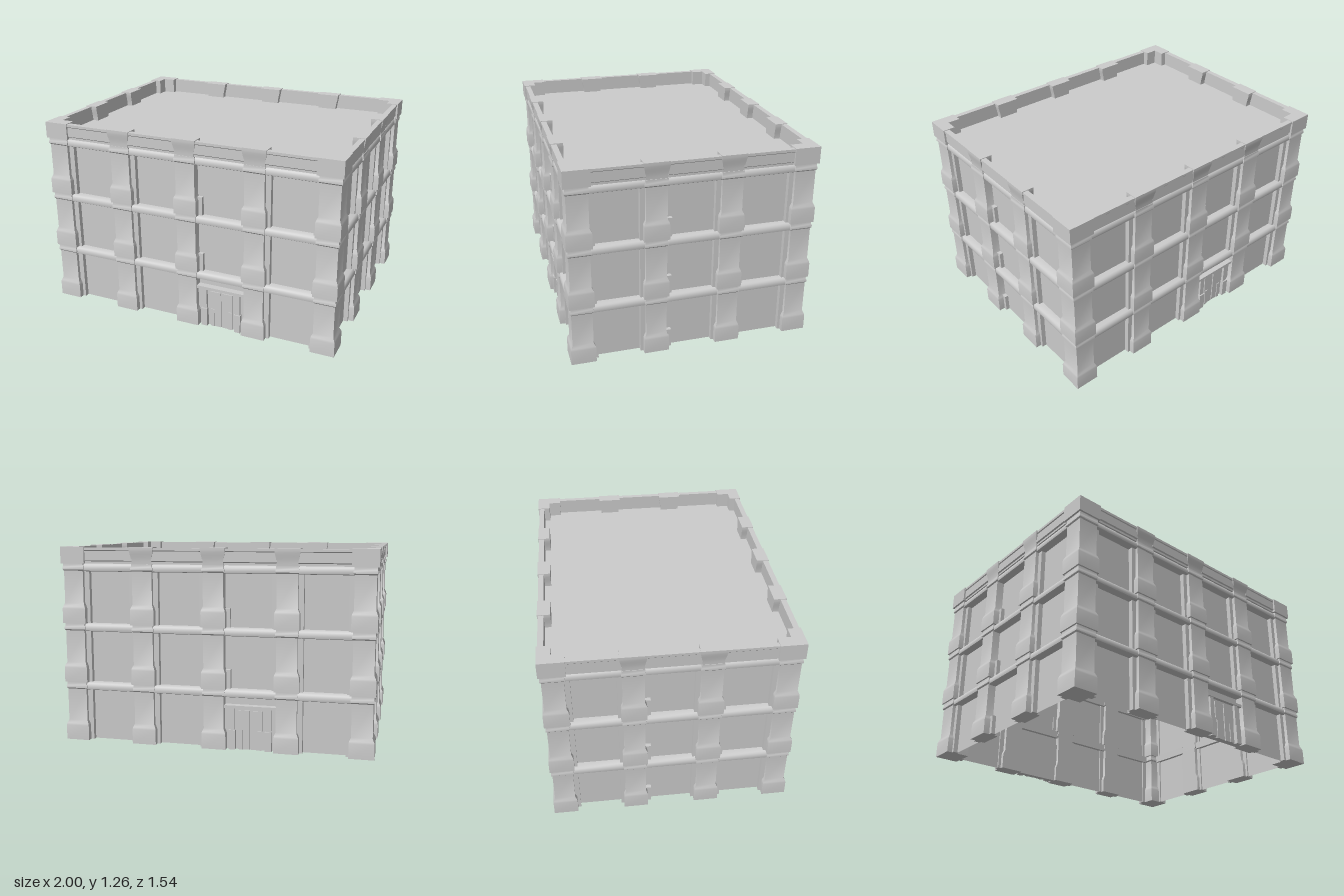
import * as THREE from 'three';
import { toCreasedNormals } from 'three/addons/utils/BufferGeometryUtils.js';

const mat = new THREE.MeshStandardMaterial({ color: 0xcccccc });
const thin = new THREE.MeshStandardMaterial({ color: 0xcccccc, side: THREE.DoubleSide });
const BAY = 0.46, STOREY = 0.385, ROOF = 1.155, TOP = 1.26;
const HX = 0.998, HZ = 0.766; // outer half sizes

function add(parent, name, geo, material = mat) {
  const mesh = new THREE.Mesh(geo, material);
  mesh.name = name;
  parent.add(mesh);
  return mesh;
}

// box given by its limits
function box(parent, name, x0, x1, y0, y1, z0, z1) {
  const g = new THREE.BoxGeometry(x1 - x0, y1 - y0, z1 - z0);
  g.translate((x0 + x1) / 2, (y0 + y1) / 2, (z0 + z1) / 2);
  return add(parent, name, g);
}

// stacked rectangular sections: [y, x0, x1, z0, z1]
function stack(sections) {
  const rings = sections.map(([y, x0, x1, z0, z1]) =>
    [[x0, y, z1], [x1, y, z1], [x1, y, z0], [x0, y, z0]]);
  const p = [];
  const quad = (a, b, c, d) => p.push(...a, ...b, ...c, ...a, ...c, ...d);
  for (let i = 0; i < rings.length - 1; i++) {
    const a = rings[i], b = rings[i + 1];
    for (let j = 0; j < 4; j++) {
      const k = (j + 1) % 4;
      quad(a[j], a[k], b[k], b[j]);
    }
  }
  const first = rings[0], last = rings[rings.length - 1];
  quad(last[0], last[1], last[2], last[3]);
  quad(first[3], first[2], first[1], first[0]);
  const g = new THREE.BufferGeometry();
  g.setAttribute('position', new THREE.Float32BufferAttribute(p, 3));
  return toCreasedNormals(g, 0.6);
}

// (z, y) profile drawn out along x
function moulding(points, length) {
  const shape = new THREE.Shape(points.map(([z, y]) => new THREE.Vector2(z, y)));
  const g = new THREE.ExtrudeGeometry(shape, { depth: length, bevelEnabled: false });
  g.translate(0, 0, -length / 2);
  g.rotateY(-Math.PI / 2);
  return toCreasedNormals(g, 0.7);
}

// pillar outline over one storey: [y, inset from the widest face]
const PILLAR = [[0, 0], [0.095, 0], [0.108, 0.003], [0.13, 0.013], [0.338, 0.013],
  [0.346, 0.006], [0.36, 0.006], [0.368, 0.01], [0.385, 0.01]];
// flared pier on the parapet
const PIER = [[0, 0.013], [0.02, 0.012], [0.04, 0.009], [0.06, 0.005], [0.08, 0.001], [0.09, 0], [0.105, 0]];

// entrance filling the space between two pillars, centred on x
function entrance(parent, x, D) {
  const door = new THREE.Group();
  door.name = 'entrance';
  box(door, 'doorSurround', x - 0.165, x + 0.165, 0, 0.28, D - 0.08, D - 0.045);
  for (const s of [-1, 1]) {
    const at = (name, a, b, y0, y1, z) =>
      box(door, name, x + Math.min(s * a, s * b), x + Math.max(s * a, s * b), y0, y1, D - 0.06, D - z);
    at('doorPost', 0.1, 0.132, 0, 0.265, 0.028);
    at('doorPostBase', 0.095, 0.137, 0, 0.125, 0.02);
    at('doorLeaf', 0.004, 0.078, 0, 0.25, 0.038);
    at('doorKickPlate', 0.048, 0.072, 0, 0.125, 0.033);
  }
  box(door, 'doorLintel', x - 0.168, x + 0.168, 0.265, 0.283, D - 0.075, D - 0.022);
  parent.add(door);
}

// one side of the building, facing +z at distance D, with n bays
function facade(name, n, D, oddBay, hasDoor) {
  const side = new THREE.Group();
  side.name = name;
  const half = n * BAY / 2;
  const wall = new THREE.PlaneGeometry(2 * half + 0.03, ROOF);
  wall.translate(0, ROOF / 2, D - 0.065);
  add(side, 'wall', wall, thin);

  // intermediate pillars with parapet piers
  for (let i = 1; i < n; i++) {
    const x = -half + i * BAY;
    const section = (y, inset, depth) =>
      [y, x - 0.078 + inset, x + 0.078 - inset, D - depth, D - inset];
    for (let f = 0; f < 3; f++)
      add(side, 'pillar', stack(PILLAR.map(([y, s]) => section(y + f * STOREY, s, 0.1))));
    add(side, 'parapetPier', stack(PIER.map(([y, s]) => section(y + ROOF, s, 0.08))));
  }

  // bays: rounded floor beams, side jambs, parapet rails
  const round = [[D - 0.09, -0.05], [D - 0.022, -0.05], [D - 0.015, -0.046], [D - 0.013, -0.036],
    [D - 0.014, -0.022], [D - 0.019, -0.009], [D - 0.03, 0], [D - 0.09, 0]];
  const rail = [[D - 0.04, 0], [D - 0.018, 0], [D - 0.018, 0.014], [D - 0.01, 0.02],
    [D - 0.01, 0.08], [D - 0.005, 0.085], [D - 0.005, 0.101], [D - 0.04, 0.101]];
  for (let b = 0; b < n; b++) {
    const x = -half + (b + 0.5) * BAY;
    for (let f = 0; f < 3; f++) {
      const y = f * STOREY;
      add(side, 'floorBeam', moulding(round, 0.33)).position.set(x, y + STOREY, 0);
      if (hasDoor && b === oddBay && f === 0) continue;
      box(side, 'jamb', x + 0.135, x + 0.168, y, y + 0.34, D - 0.075, D - 0.035);
      if (b === oddBay)
        box(side, 'jambPlinth', x - 0.168, x - 0.128, y, y + 0.12, D - 0.075, D - 0.04);
      else
        box(side, 'jamb', x - 0.168, x - 0.132, y, y + 0.34, D - 0.075, D - 0.035);
    }
    add(side, 'parapetRail', moulding(rail, 0.33)).position.set(x, ROOF, 0);
  }
  if (hasDoor) entrance(side, -half + (oddBay + 0.5) * BAY, D);
  return side;
}

// corner pillar and its L-shaped parapet block
function corner(sx, sz) {
  const g = new THREE.Group();
  g.name = 'corner';
  const span = (s, h, inset) => {
    const a = s * (h - 0.155 + inset), b = s * (h - inset);
    return [Math.min(a, b), Math.max(a, b)];
  };
  for (let f = 0; f < 3; f++)
    add(g, 'cornerPillar', stack(PILLAR.map(([y, s]) =>
      [y + f * STOREY, ...span(sx, HX, s), ...span(sz, HZ, s)])));
  const X = 1, Z = 0.768;
  const pts = [[X, Z], [X - 0.16, Z], [X - 0.16, Z - 0.08], [X - 0.08, Z - 0.08], [X - 0.08, Z - 0.16], [X, Z - 0.16]];
  const shape = new THREE.Shape(pts.map(([x, z]) => new THREE.Vector2(sx * x, -sz * z)));
  const geo = new THREE.ExtrudeGeometry(shape, { depth: TOP - ROOF, bevelEnabled: false });
  geo.rotateX(-Math.PI / 2);
  geo.translate(0, ROOF, 0);
  add(g, 'cornerParapet', geo);
  return g;
}

export function createModel() {
  const model = new THREE.Group();
  model.name = 'building';

  const sides = [['frontSide', 4, HZ, 2, true], ['leftSide', 3, HX, 1, false],
    ['backSide', 4, HZ, 2, true], ['rightSide', 3, HX, 1, false]];
  sides.forEach((args, i) => {
    const side = facade(...args);
    side.rotation.y = i * Math.PI / 2;
    model.add(side);
  });

  for (const sx of [-1, 1]) for (const sz of [-1, 1]) model.add(corner(sx, sz));

  // flat roof inside the parapet
  const roof = new THREE.PlaneGeometry(2 * HX - 0.06, 2 * HZ - 0.06);
  roof.rotateX(-Math.PI / 2);
  roof.translate(0, ROOF + 0.003, 0);
  add(model, 'roof', roof, thin);

  return model;
}
